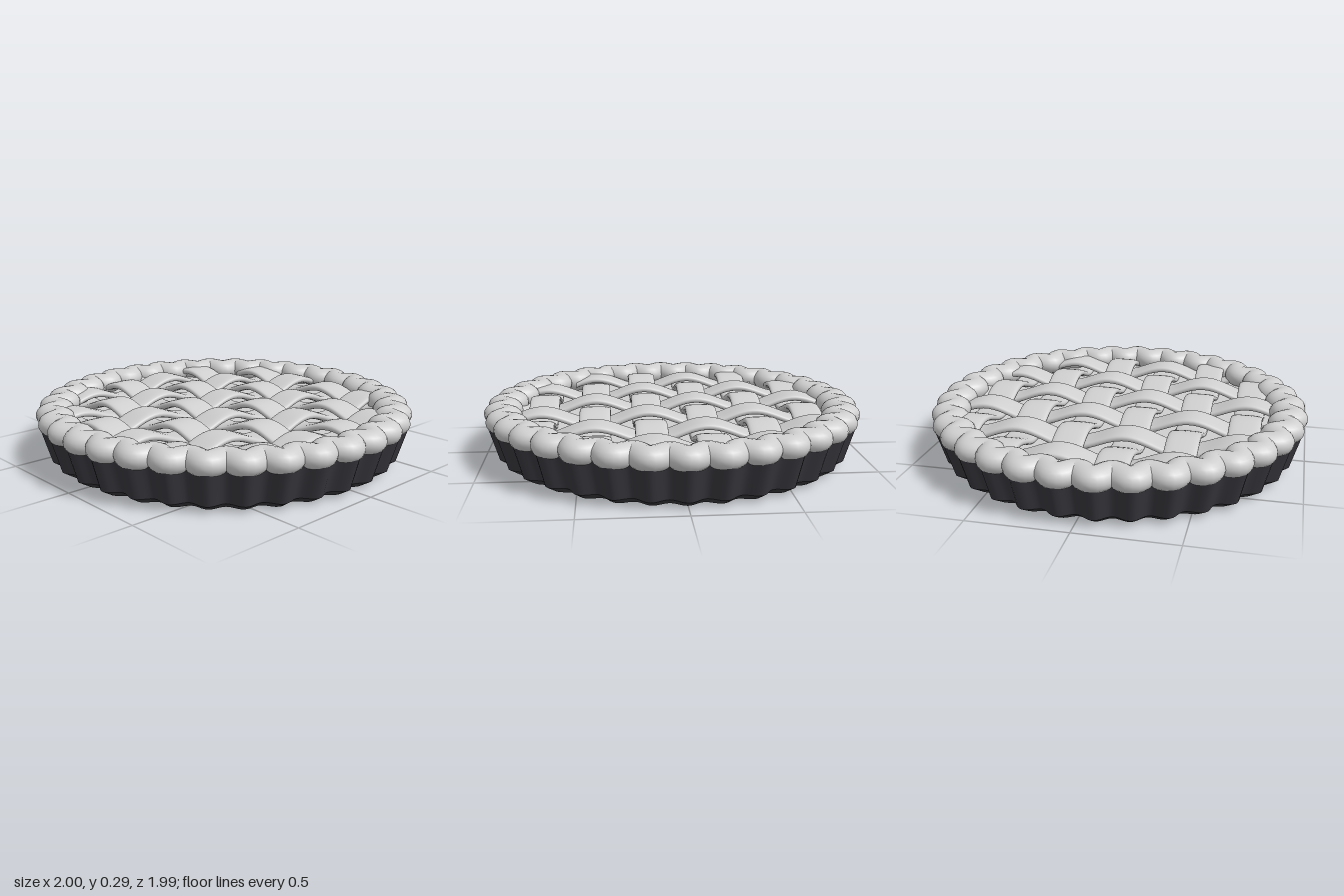
import * as THREE from 'three';
import { ParametricGeometry } from 'three/addons/geometries/ParametricGeometry.js';

const FLUTES = 34;
const TAU = Math.PI * 2;

const pastry = new THREE.MeshStandardMaterial({ color: 0xcfcfcf, side: THREE.DoubleSide });
pastry.name = 'pastry';
const darkMetal = new THREE.MeshStandardMaterial({ color: 0x38373d, side: THREE.DoubleSide });
darkMetal.name = 'darkMetal';

function addMesh(parent, name, geometry, material) {
  const mesh = new THREE.Mesh(geometry, material);
  mesh.name = name;
  parent.add(mesh);
  return mesh;
}

// Crimped rim: an oval tube swept along a wavy ring
function crimpedRim() {
  const radius = 0.9, wave = 0.03, thick = 0.07, tall = 0.06, height = 0.235;
  return new ParametricGeometry((u, v, p) => {
    const t = u * TAU, a = v * TAU;
    const r = radius + wave * Math.cos(FLUTES * t);
    const slope = -FLUTES * wave * Math.sin(FLUTES * t);
    const len = Math.hypot(r, slope);
    const out = r + thick * Math.cos(a) * r / len;
    const side = -thick * Math.cos(a) * slope / len;
    p.set(
      out * Math.cos(t) - side * Math.sin(t),
      height - tall * Math.sin(a),
      out * Math.sin(t) + side * Math.cos(t)
    );
  }, FLUTES * 18, 20);
}

// One band of the fluted tin between two [radius, y, flute depth] rings, upper first
function flutedBand([r0, y0, f0], [r1, y1, f1]) {
  return new ParametricGeometry((u, v, p) => {
    const t = u * TAU;
    const flute = (f0 + (f1 - f0) * v) * Math.cos(FLUTES * t);
    const r = r0 + (r1 - r0) * v + flute;
    p.set(r * Math.cos(t), y0 + (y1 - y0) * v, r * Math.sin(t));
  }, FLUTES * 10, 4);
}

// Lattice strip along x that waves over and under its crossings
const SPACING = 0.276;
function latticeStrip(index) {
  const offset = (index - 2.5) * SPACING;
  const half = Math.sqrt(0.875 ** 2 - offset ** 2);
  const sign = index % 2 ? 1 : -1;
  const soft = (c) => Math.sign(c) * Math.abs(c) ** 0.6;
  return new ParametricGeometry((u, v, p) => {
    const s = (u * 2 - 1) * half, a = v * TAU;
    const lift = 0.035 * sign * Math.cos(Math.PI * (s / SPACING + 2.5));
    p.set(s, 0.215 + lift + 0.02 * soft(Math.sin(a)), offset + 0.081 * soft(Math.cos(a)));
  }, 64, 24);
}

export function createModel() {
  const model = new THREE.Group();
  model.name = 'latticePie';

  // Tin: flared wall, bevelled foot and flat base
  const tin = new THREE.Group();
  tin.name = 'bakingTin';
  model.add(tin);
  const rings = [[0.972, 0.225, 0.022], [0.916, 0.035, 0.022], [0.862, 0, 0.018], [0.001, 0, 0]];
  ['wall', 'foot', 'base'].forEach((name, i) => {
    addMesh(tin, name, flutedBand(rings[i], rings[i + 1]), darkMetal);
  });

  // Filling under the lattice
  const filling = addMesh(model, 'filling', new THREE.CircleGeometry(0.9, 68), pastry);
  filling.rotation.x = -Math.PI / 2;
  filling.position.y = 0.175;

  // Woven strips in both directions
  const lattice = new THREE.Group();
  lattice.name = 'lattice';
  model.add(lattice);
  for (let i = 0; i < 6; i++) {
    const geometry = latticeStrip(i);
    addMesh(lattice, 'crossStrip', geometry, pastry);
    addMesh(lattice, 'lengthStrip', geometry, pastry).rotation.y = Math.PI / 2;
  }

  addMesh(model, 'crimpedRim', crimpedRim(), pastry);
  return model;
}
